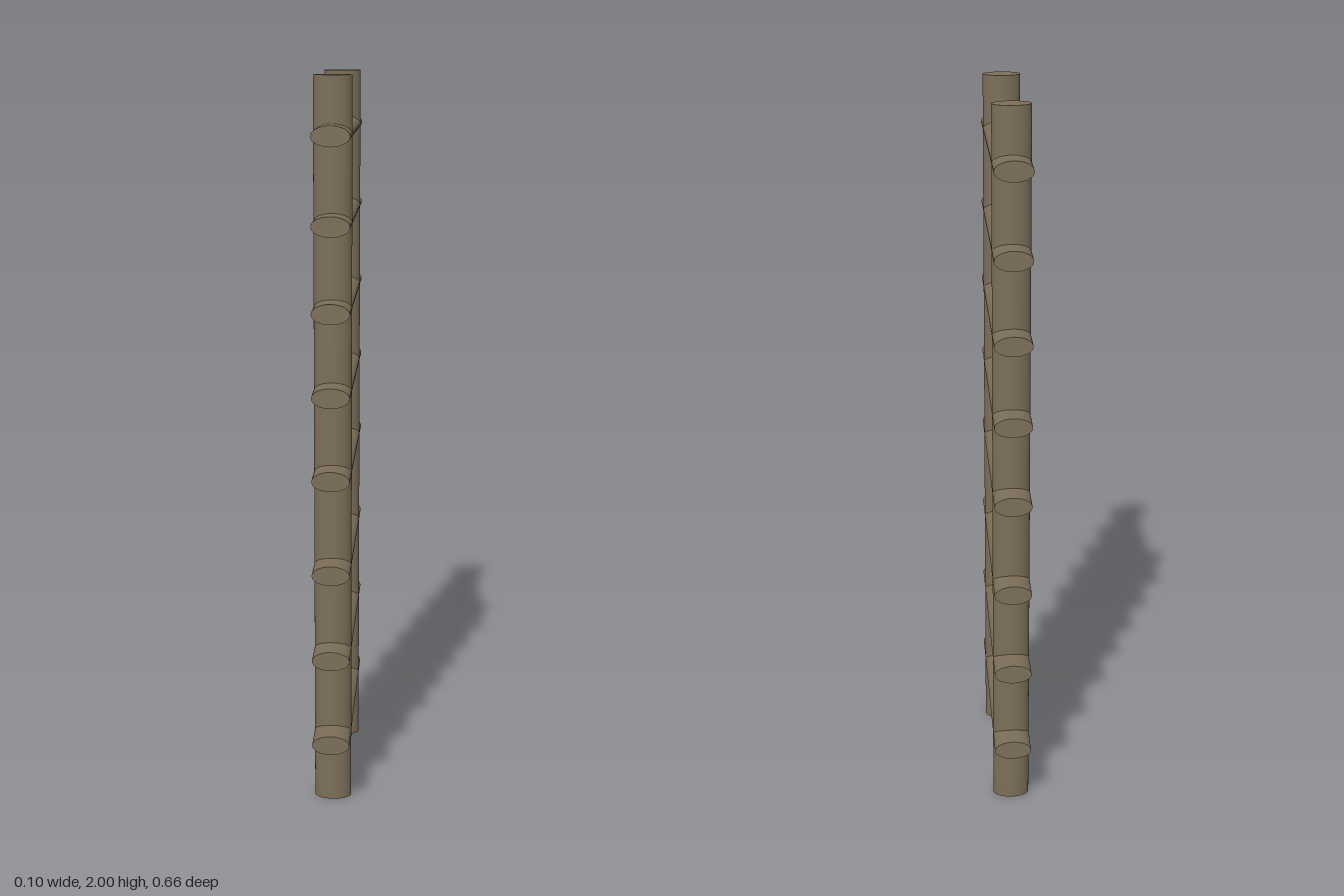
import * as THREE from 'three';

export function createModel() {
  const group = new THREE.Group();
  group.name = 'ladder';
  const wood = new THREE.MeshStandardMaterial({ color: 0x7d6f59 });
  wood.name = 'weathered wood';

  // Two upright poles with oval sections
  const poleShape = new THREE.CylinderGeometry(1, 1, 2, 48).scale(0.051, 1, 0.034);
  [['frontPole', 0.218], ['backPole', -0.226]].forEach(([name, z]) => {
    const pole = new THREE.Mesh(poleShape, wood);
    pole.name = name;
    pole.position.set(0, 1, z);
    group.add(pole);
  });

  // Flattened rungs running through both poles
  const rungShape = new THREE.CylinderGeometry(1, 1, 0.654, 48)
    .rotateX(Math.PI / 2)
    .scale(0.051, 0.027, 1);
  [0.195, 0.44, 0.684, 0.946, 1.172, 1.395, 1.621, 1.85].forEach((y, i) => {
    const rung = new THREE.Mesh(rungShape, wood);
    rung.name = `rung${i + 1}`;
    rung.position.set(0, y, i === 0 ? 0.003 : i === 7 ? -0.002 : 0);
    group.add(rung);
  });

  return group;
}
